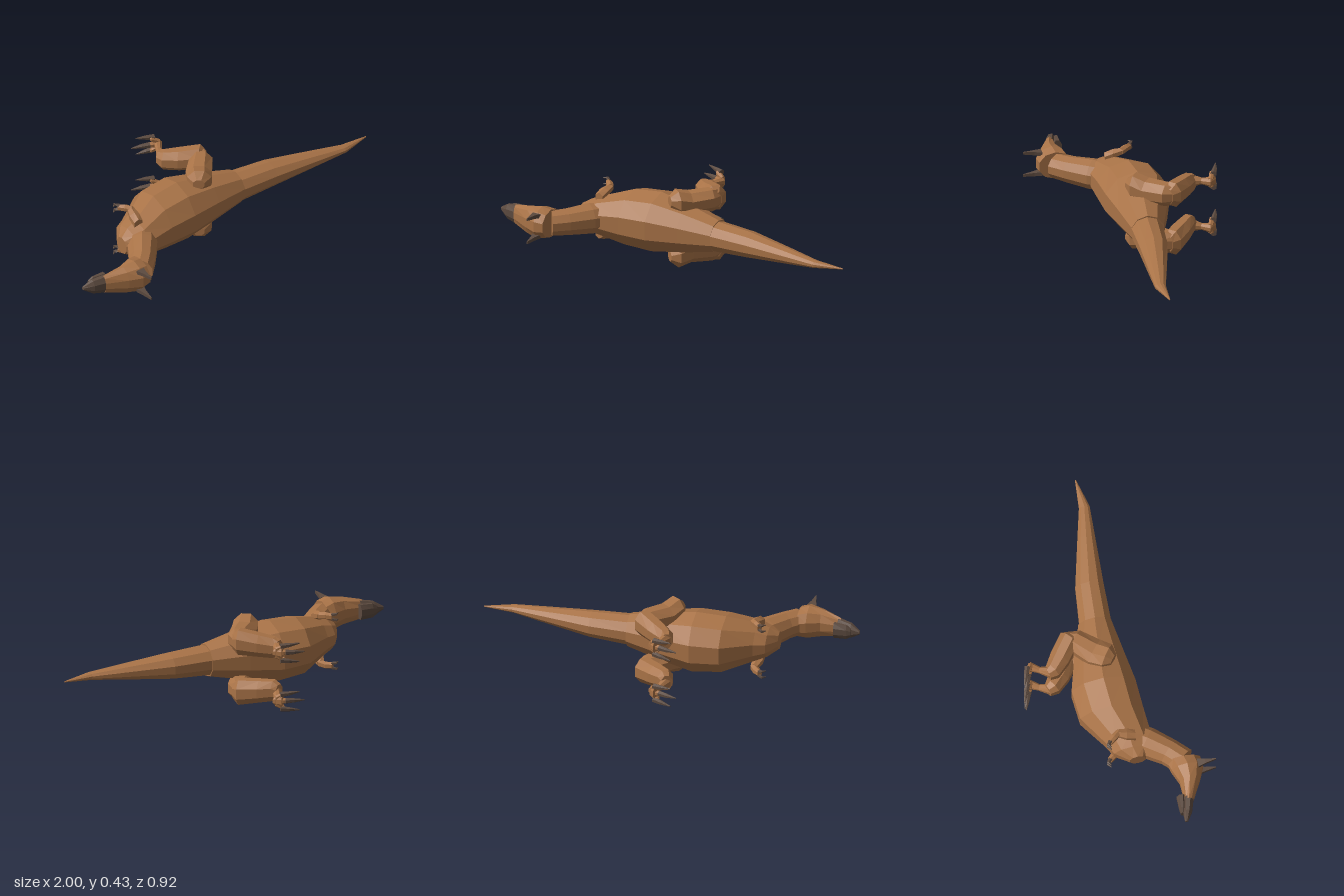
import * as THREE from 'three';

const MID = 0.223; // height of the animal's mirror plane: it lies on its side, its back towards +z
const hide = new THREE.MeshStandardMaterial({ color: 0xa97347 });
hide.name = 'brown hide';
const horn = new THREE.MeshStandardMaterial({ color: 0x5c4a3f });
horn.name = 'dark horn';

// Faceted skin over elliptical rings [x, z, sideways offset, half depth, half width, heading?]
function loft(rings, n = 8, s = 1) {
  const pos = [], idx = [];
  const tri = (a, b, c) => (s > 0 ? idx.push(a, b, c) : idx.push(a, c, b));
  rings.forEach(([x, z, y, depth, width, heading], i) => {
    const p = rings[Math.max(i - 1, 0)], q = rings[Math.min(i + 1, rings.length - 1)];
    const h = heading ?? Math.atan2(q[1] - p[1], q[0] - p[0]);
    for (let j = 0; j < n; j++) {
      const a = ((j + 0.5) / n) * Math.PI * 2;
      const d = (depth * Math.cos(a)) / Math.cos(Math.PI / n);
      pos.push(x - Math.sin(h) * d, MID + s * (y + width * Math.sin(a)), z + Math.cos(h) * d);
    }
  });
  const last = (rings.length - 1) * n;
  for (let i = 0; i < last; i += n) {
    for (let j = 0; j < n; j++) {
      const k = (j + 1) % n;
      tri(i + j, i + n + j, i + k);
      tri(i + k, i + n + j, i + n + k);
    }
  }
  for (let j = 1; j < n - 1; j++) {
    tri(0, j, j + 1);
    tri(last, last + j + 1, last + j);
  }
  const g = new THREE.BufferGeometry();
  g.setAttribute('position', new THREE.Float32BufferAttribute(pos, 3));
  g.setIndex(idx);
  const flat = g.toNonIndexed();
  flat.computeVertexNormals();
  return flat;
}

// Upright rings along x from [x, lowest z, highest z, half width]
const upright = (rows) => rows.map(([x, lo, hi, w]) => [x, (lo + hi) / 2, 0, (hi - lo) / 2, w, 0]);

export function createModel() {
  const model = new THREE.Group();
  model.name = 'dinosaur';
  const add = (parent, name, geometry, material = hide) => {
    const m = new THREE.Mesh(geometry, material);
    m.name = name;
    parent.add(m);
  };

  // Trunk and tail
  add(model, 'body', loft(upright([
    [-0.61, 0.015, 0.1, 0.05], [-0.56, -0.06, 0.14, 0.08], [-0.5, -0.09, 0.155, 0.105],
    [-0.34, -0.2, 0.14, 0.155], [-0.18, -0.215, 0.13, 0.167], [0, -0.165, 0.1, 0.135],
    [0.19, -0.105, 0.07, 0.09],
  ]), 10));
  add(model, 'tail', loft(upright([
    [0.185, -0.1, 0.07, 0.083], [0.4, -0.08, 0.072, 0.07], [0.67, -0.015, 0.08, 0.04],
    [0.84, 0.027, 0.085, 0.02], [1, 0.037, 0.043, 0.003],
  ]), 10));

  // Neck, head and beak
  add(model, 'neck', loft([
    [-0.66, 0.29, 0, 0.07, 0.068, -0.65], [-0.6, 0.228, 0, 0.07, 0.073, -0.8],
    [-0.525, 0.125, 0, 0.08, 0.083, -0.95], [-0.48, 0.05, 0, 0.08, 0.08, -1],
  ], 10));
  add(model, 'head', loft(upright([
    [-0.89, 0.255, 0.302, 0.055], [-0.78, 0.25, 0.36, 0.08],
    [-0.71, 0.22, 0.39, 0.091], [-0.66, 0.205, 0.383, 0.078],
  ]), 10));
  add(model, 'upperBeak', loft(upright([
    [-1, 0.235, 0.252, 0.01], [-0.95, 0.235, 0.283, 0.043], [-0.875, 0.25, 0.306, 0.056],
  ])), horn);
  add(model, 'lowerBeak', loft(upright([
    [-0.955, 0.222, 0.24, 0.025], [-0.93, 0.218, 0.25, 0.042], [-0.86, 0.217, 0.265, 0.046],
  ])), horn);

  for (const s of [1, -1]) {
    const side = s > 0 ? 'upper' : 'lower';

    // Brow horn
    add(model, side + 'Horn', loft([
      [-0.71, 0.36, 0.058, 0.024, 0.016, Math.PI / 2],
      [-0.71, 0.4, 0.062, 0.012, 0.014, Math.PI / 2],
      [-0.708, 0.46, 0.066, 0.002, 0.01, Math.PI / 2],
    ], 4, s), horn);

    // Hind leg: thigh, shank and ankle
    const leg = new THREE.Group();
    leg.name = side + 'HindLeg';
    model.add(leg);
    add(leg, 'thigh', loft([
      [-0.085, 0.03, 0.155, 0.03, 0.03], [-0.06, 0, 0.15, 0.065, 0.07],
      [-0.02, -0.06, 0.135, 0.07, 0.065], [0.06, -0.15, 0.14, 0.06, 0.065],
      [0.085, -0.19, 0.14, 0.03, 0.055],
    ], 8, s));
    add(leg, 'shank', loft([
      [0.095, -0.155, 0.14, 0.025, 0.045, -2.3], [0.072, -0.178, 0.142, 0.055, 0.075, -2.35],
      [-0.015, -0.245, 0.13, 0.055, 0.066, -2.35], [-0.075, -0.295, 0.122, 0.045, 0.06, -2.2],
      [-0.09, -0.325, 0.125, 0.03, 0.045, -2],
    ], 8, s));
    add(leg, 'ankle', loft([
      [-0.085, -0.3, 0.13, 0.03, 0.04], [-0.06, -0.365, 0.135, 0.016, 0.018],
      [-0.035, -0.405, 0.137, 0.024, 0.026], [-0.055, -0.43, 0.137, 0.015, 0.034],
    ], 8, s));

    // Three toes ending in claws
    [-1, 0, 1].forEach((t, i) => {
      const y = 0.137, reach = t === 0 ? 0 : 0.03;
      add(leg, 'toe' + (i + 1), loft([
        [-0.025, -0.405, y + t * 0.015, 0.012, 0.015],
        [-0.065, -0.422, y + t * 0.035, 0.014, 0.015],
        [-0.095 + reach, -0.433, y + t * 0.043, 0.011, 0.013],
      ], 6, s));
      add(leg, 'claw' + (i + 1), loft([
        [-0.075 + reach, -0.426, y + t * 0.04, 0.015, 0.016],
        [-0.12 + reach, -0.442, y + t * 0.045, 0.012, 0.012],
        [-0.173 + reach, -0.458, y + t * 0.052, 0.002, 0.003],
      ], 6, s), horn);
    });

    // Small arm with two clawed fingers
    const arm = new THREE.Group();
    arm.name = side + 'Arm';
    model.add(arm);
    add(arm, 'upperArm', loft([
      [-0.505, 0.065, 0.1, 0.025, 0.03], [-0.5, 0.02, 0.12, 0.028, 0.026],
      [-0.49, -0.03, 0.135, 0.018, 0.02],
    ], 6, s));
    add(arm, 'forearm', loft([
      [-0.485, -0.02, 0.135, 0.016, 0.02], [-0.51, -0.05, 0.14, 0.018, 0.02],
      [-0.535, -0.078, 0.138, 0.014, 0.018],
    ], 6, s));
    for (const t of [-1, 1]) {
      add(arm, 'finger', loft([
        [-0.53, -0.074, 0.138 + t * 0.011, 0.01, 0.009],
        [-0.55, -0.09, 0.138 + t * 0.017, 0.008, 0.007],
        [-0.568, -0.076, 0.138 + t * 0.018, 0.002, 0.002],
      ], 5, s), horn);
    }
  }
  return model;
}
